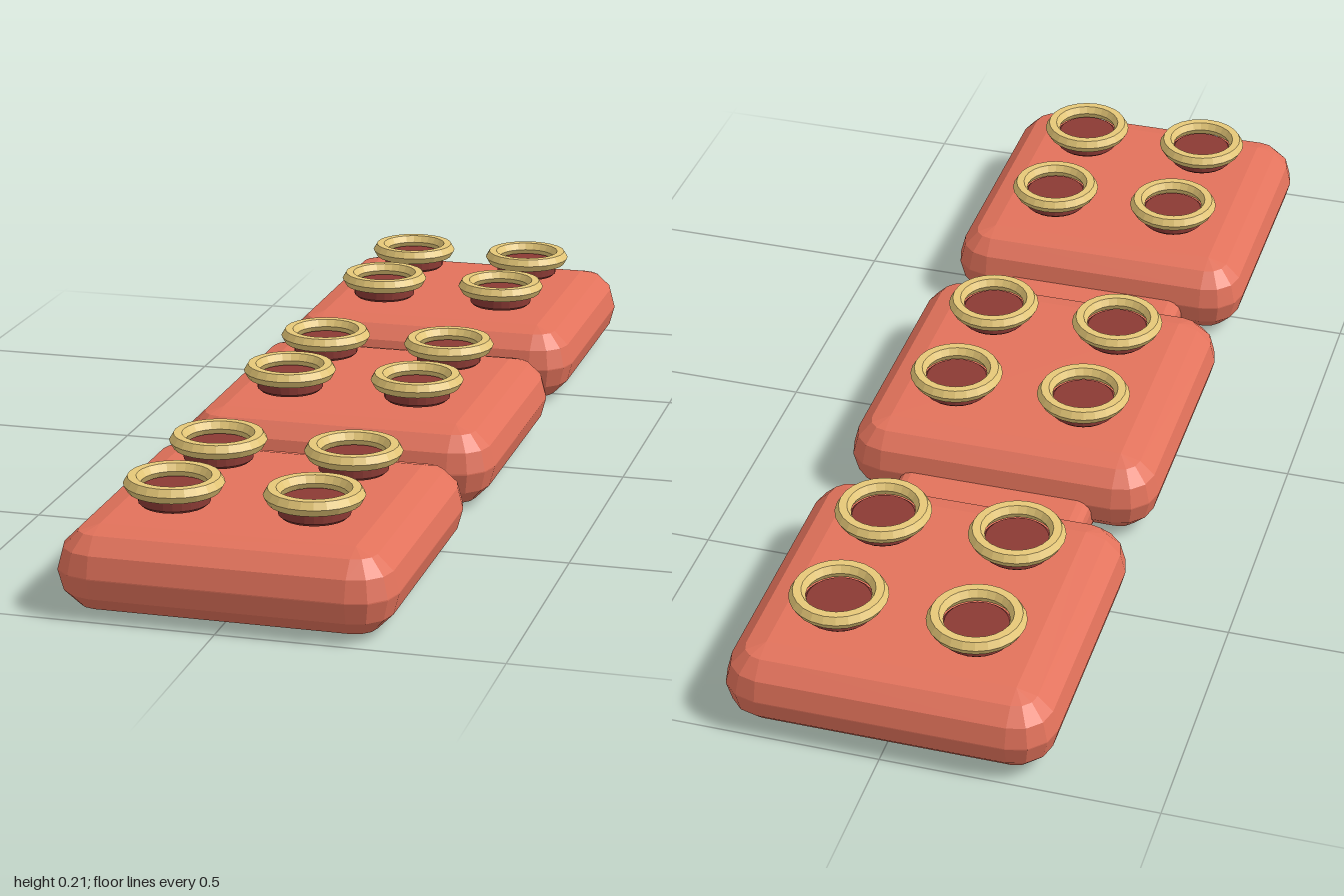
import * as THREE from 'three';
import { ConvexGeometry } from 'three/addons/geometries/ConvexGeometry.js';

const paint = (color) => new THREE.MeshStandardMaterial({ color, flatShading: true });

// Box with faceted round edges: the hull of eight corner balls, 30 degrees per facet
function softBox(w, h, d, r) {
  const points = [];
  const step = Math.PI / 6;
  for (const sx of [-1, 1]) for (const sy of [-1, 1]) for (const sz of [-1, 1]) {
    for (let i = 0; i <= 3; i++) {
      for (let j = 0; j <= (i === 3 ? 0 : 3); j++) {
        const ring = i === 3 ? 0 : r * Math.cos(i * step);
        points.push(new THREE.Vector3(
          sx * (w / 2 - r + ring * Math.cos(j * step)),
          sy * (h / 2 - r + r * Math.sin(i * step)),
          sz * (d / 2 - r + ring * Math.sin(j * step))
        ));
      }
    }
  }
  return new ConvexGeometry(points);
}

export function createModel() {
  const model = new THREE.Group();
  model.name = 'segmentedStrip';
  const coral = paint(0xe2725b);
  const darkRed = paint(0x8b3a34);
  const gold = paint(0xe6c878);

  const add = (name, geometry, material, x, y, z, parent = model) => {
    const mesh = new THREE.Mesh(geometry, material);
    mesh.name = name;
    mesh.position.set(x, y, z);
    parent.add(mesh);
  };

  const padGeometry = softBox(0.6, 0.152, 0.6, 0.075);
  const linkGeometry = softBox(0.374, 0.082, 0.23, 0.025);

  // Short button with softened rims
  const buttonProfile = [[0, -0.015], [0.057, -0.015], [0.0625, -0.01],
    [0.0625, 0.01], [0.057, 0.015], [0, 0.015]].map(([x, y]) => new THREE.Vector2(x, y));
  const buttonGeometry = new THREE.LatheGeometry(buttonProfile, 24);

  // Six-sided rim ring lying flat
  const rimGeometry = new THREE.TorusGeometry(0.0728, 0.015, 6, 24).rotateX(Math.PI / 2);

  // Three pads, each with four rimmed buttons hovering over the top
  for (const z of [-0.7, 0, 0.7]) {
    const segment = new THREE.Group();
    segment.name = 'segment';
    segment.position.z = z;
    model.add(segment);
    add('pad', padGeometry, coral, 0, 0.079, 0, segment);
    for (const bx of [-0.125, 0.125]) for (const bz of [-0.125, 0.125]) {
      add('button', buttonGeometry, darkRed, bx, 0.182, bz, segment);
      add('buttonRim', rimGeometry, gold, bx, 0.205, bz, segment);
    }
  }

  // Thin links joining the pads
  for (const z of [-0.35, 0.35]) add('link', linkGeometry, coral, 0, 0.044, z);

  return model;
}
